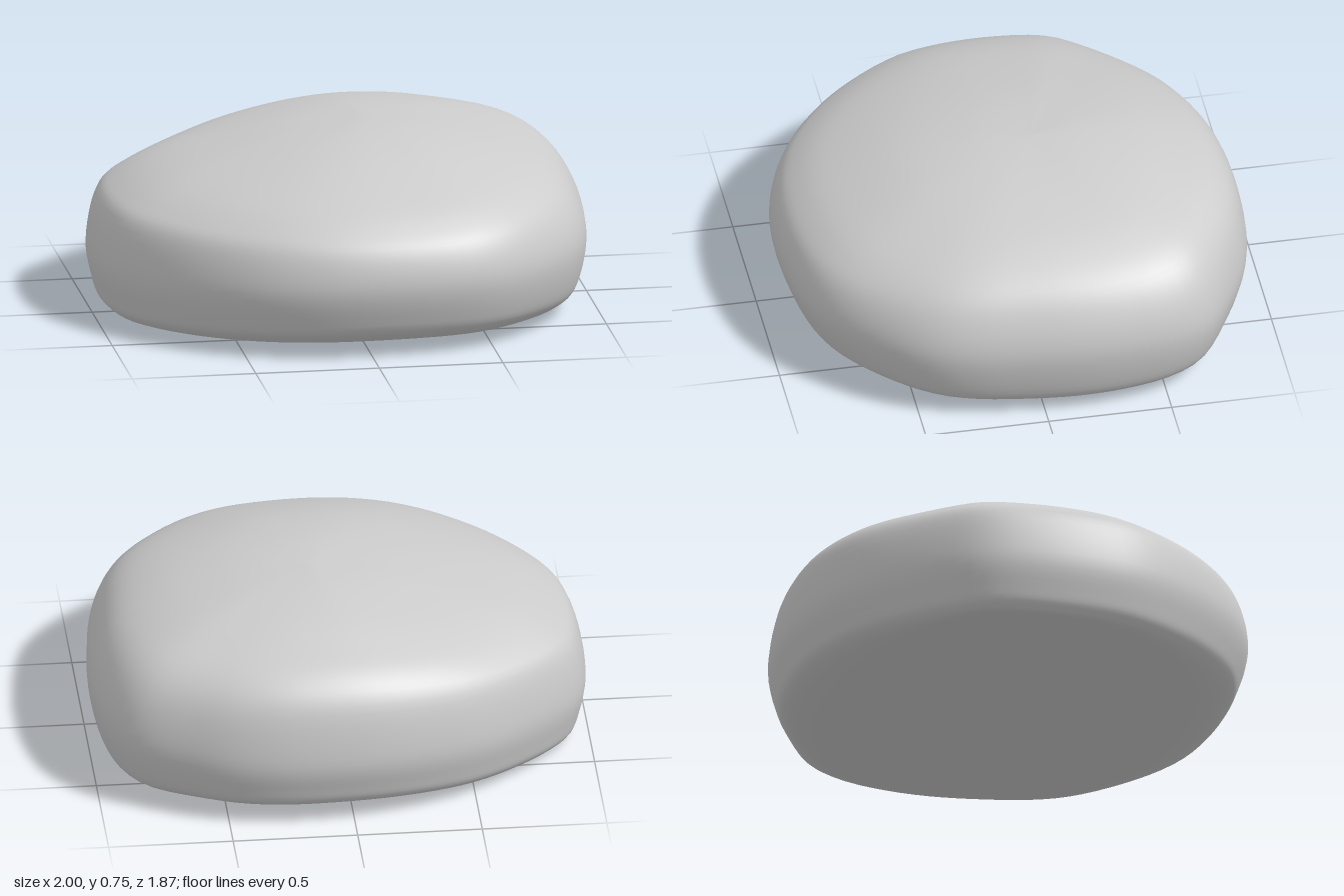
import * as THREE from 'three';
import { mergeVertices } from 'three/addons/utils/BufferGeometryUtils.js';

const SEGMENTS = 96, RINGS = 56;
const SUMMIT = { x: 0.1, z: -0.1 };

// Plan outline as x, z, running right, back, left, front
const OUTLINE = [
  [-1, -0.1], [-0.96, -0.35], [-0.87, -0.48], [-0.6, -0.72], [-0.4, -0.83], [-0.1, -0.92],
  [0.25, -0.94], [0.47, -0.9], [0.65, -0.82], [0.87, -0.68], [0.95, -0.54], [0.99, -0.35],
  [1, -0.15], [0.98, 0.1], [0.95, 0.3], [0.9, 0.45], [0.8, 0.6], [0.6, 0.79], [0.42, 0.88],
  [0.1, 0.93], [-0.2, 0.91], [-0.45, 0.82], [-0.7, 0.63], [-0.9, 0.37], [-0.97, 0.2],
];

// Section on each side, from summit to underside: share of the outline radius, height
const PROFILES = {
  right: [[0, 0.75], [0.27, 0.72], [0.545, 0.655], [0.745, 0.59], [0.89, 0.51], [0.965, 0.43],
    [1, 0.24], [0.98, 0.1], [0.955, 0.035], [0.89, 0.01], [0.6, 0], [0, 0]],
  left: [[0, 0.75], [0.22, 0.74], [0.44, 0.71], [0.67, 0.655], [0.855, 0.57], [0.955, 0.45],
    [1, 0.3], [0.967, 0.12], [0.91, 0.05], [0.82, 0.02], [0.5, 0], [0, 0]],
  front: [[0, 0.75], [0.24, 0.74], [0.51, 0.69], [0.77, 0.59], [0.9, 0.51], [0.97, 0.43],
    [1, 0.3], [0.97, 0.17], [0.92, 0.09], [0.77, 0.03], [0.5, 0.01], [0, 0]],
  back: [[0, 0.75], [0.24, 0.745], [0.48, 0.72], [0.66, 0.68], [0.84, 0.62], [0.95, 0.51],
    [1, 0.3], [0.975, 0.17], [0.93, 0.09], [0.78, 0.04], [0.5, 0.01], [0, 0]],
};

function pebbleGeometry() {
  const outline = new THREE.CatmullRomCurve3(
    OUTLINE.map(([x, z]) => new THREE.Vector3(x, 0, z)), true);
  const positions = [], index = [];

  for (let i = 0; i < SEGMENTS; i++) {
    const p = outline.getPointAt(i / SEGMENTS);
    const dx = p.x - SUMMIT.x, dz = p.z - SUMMIT.z;
    // Blend the two neighbouring side sections by direction
    const wx = dx * dx / (dx * dx + dz * dz);
    const a = dx < 0 ? PROFILES.right : PROFILES.left;
    const b = dz < 0 ? PROFILES.back : PROFILES.front;
    const section = new THREE.SplineCurve(a.map(([s, y], k) => new THREE.Vector2(
      THREE.MathUtils.lerp(b[k][0], s, wx), THREE.MathUtils.lerp(b[k][1], y, wx))));
    for (let j = 0; j <= RINGS; j++) {
      const q = section.getPoint(j / RINGS);
      positions.push(SUMMIT.x + dx * q.x, Math.max(0, q.y), SUMMIT.z + dz * q.x);
    }
  }

  // Skin between neighbouring sections, with single triangles at the two poles
  for (let i = 0; i < SEGMENTS; i++) {
    const m = i * (RINGS + 1), n = ((i + 1) % SEGMENTS) * (RINGS + 1);
    for (let j = 0; j < RINGS; j++) {
      if (j < RINGS - 1) index.push(m + j, n + j + 1, m + j + 1);
      if (j > 0) index.push(m + j, n + j, n + j + 1);
    }
  }

  let geometry = new THREE.BufferGeometry();
  geometry.setAttribute('position', new THREE.Float32BufferAttribute(positions, 3));
  geometry.setIndex(index);
  geometry = mergeVertices(geometry, 1e-5);
  geometry.computeVertexNormals();
  return geometry;
}

export function createModel() {
  const group = new THREE.Group();
  group.name = 'pebble';
  const stone = new THREE.Mesh(pebbleGeometry(), new THREE.MeshStandardMaterial({ color: 0xcccccc }));
  stone.name = 'stone';
  group.add(stone);
  return group;
}
